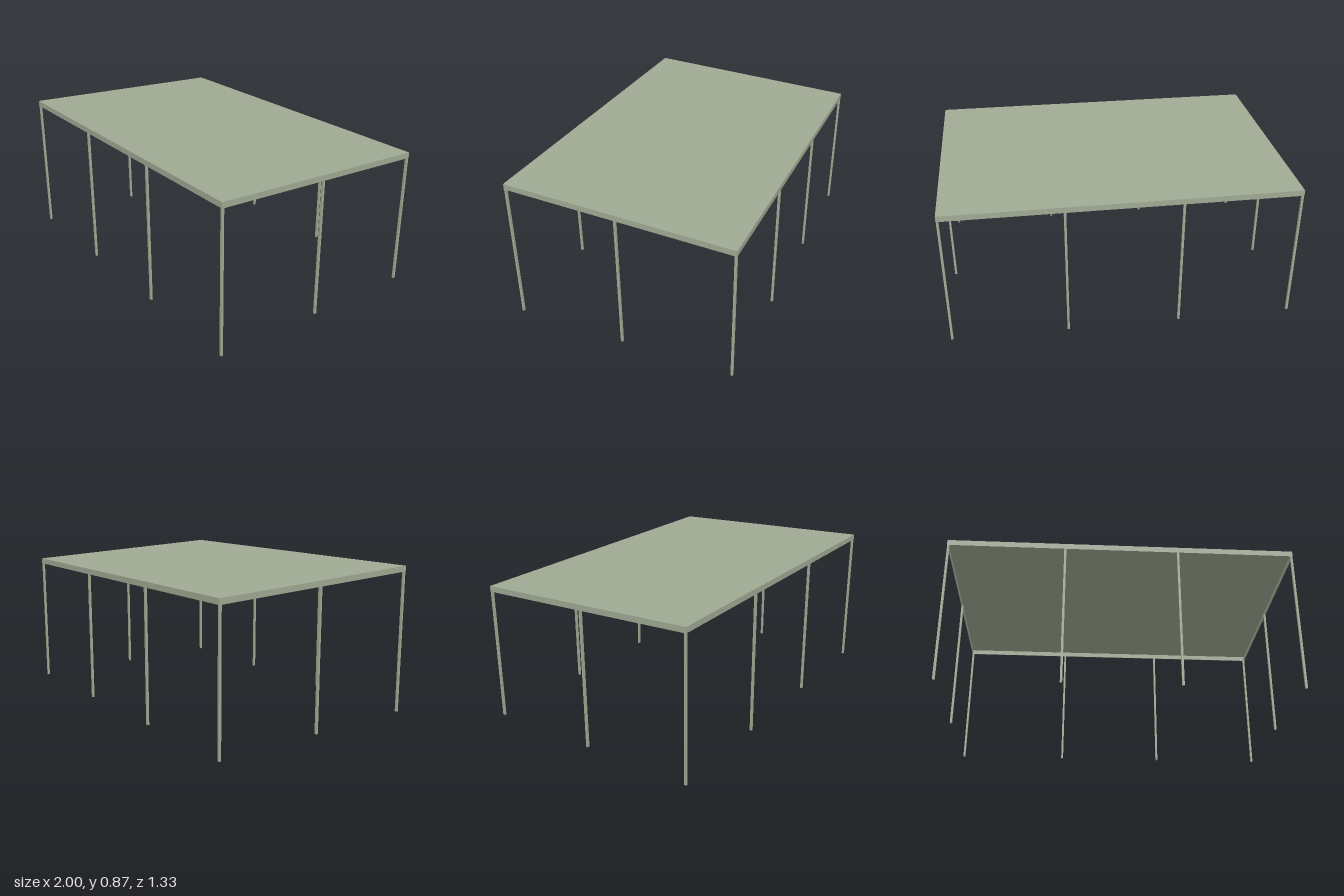
import * as THREE from 'three';

const HALF_X = 1, HALF_Z = 0.665;
const RIM = 0.033, SKIN = 0.003, POST = 0.013;

// Height of the roof surface, falling from front to back
const roofY = (z) => 0.84 + 0.0406 * z;

export function createModel() {
  const group = new THREE.Group();
  const sage = new THREE.MeshStandardMaterial({ color: 0x9fa993 });
  sage.name = 'sageGreen';

  // Box whose top and bottom (given as depths below the roof surface) follow the slope;
  // with a null bottom it stands on the ground
  function slopedBox(name, x, z, w, d, top, bottom) {
    const geo = new THREE.BoxGeometry(w, 1, d).translate(x, 0, z);
    const p = geo.attributes.position;
    for (let i = 0; i < p.count; i++) {
      const y = roofY(p.getZ(i));
      if (p.getY(i) > 0) p.setY(i, y - top);
      else p.setY(i, bottom === null ? 0 : y - bottom);
    }
    geo.computeVertexNormals();
    const mesh = new THREE.Mesh(geo, sage);
    mesh.name = name;
    group.add(mesh);
  }

  // Roof sheet
  slopedBox('roofSheet', 0, 0, 2 * HALF_X, 2 * HALF_Z, 0, SKIN);

  // Thin fascia hanging round the edge
  const t = 0.003;
  for (const s of [1, -1]) {
    slopedBox(s > 0 ? 'frontFascia' : 'backFascia', 0, s * (HALF_Z - t / 2), 2 * HALF_X, t, SKIN, RIM);
    slopedBox(s > 0 ? 'leftFascia' : 'rightFascia', s * (HALF_X - t / 2), 0, t, 2 * (HALF_Z - t), SKIN, RIM);
  }

  // Posts around the perimeter
  const px = HALF_X - POST / 2 - 0.001, pz = HALF_Z - POST / 2 - 0.001;
  for (const z of [pz, 0, -pz]) {
    for (const x of [-px, -0.326, 0.326, px]) {
      if (z === 0 && Math.abs(x) < 0.5) continue;
      slopedBox('post', x, z, POST, POST, RIM, null);
    }
  }
  return group;
}
